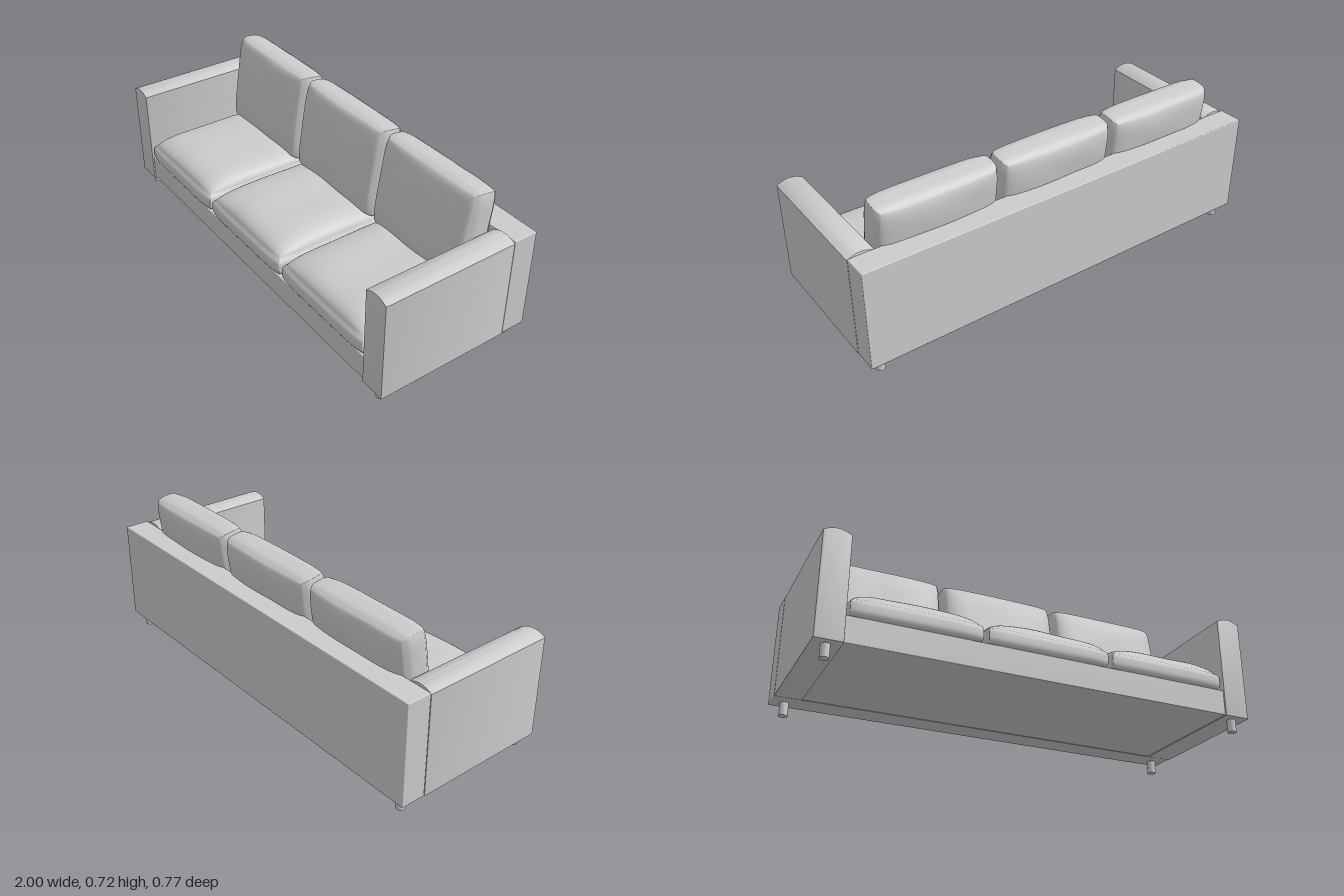
import * as THREE from 'three';
import { mergeVertices, toCreasedNormals } from 'three/addons/utils/BufferGeometryUtils.js';
import { RoundedBoxGeometry } from 'three/addons/geometries/RoundedBoxGeometry.js';

const material = new THREE.MeshStandardMaterial({ color: 0xcccccc });

function add(parent, name, geometry, x = 0, y = 0, z = 0) {
  const mesh = new THREE.Mesh(geometry, material);
  mesh.name = name;
  mesh.position.set(x, y, z);
  parent.add(mesh);
  return mesh;
}

// Box given by its limits, with slightly softened edges
function block(parent, name, x0, x1, y0, y1, z0, z1) {
  const geometry = new RoundedBoxGeometry(x1 - x0, y1 - y0, z1 - z0, 2, 0.004);
  return add(parent, name, geometry, (x0 + x1) / 2, (y0 + y1) / 2, (z0 + z1) / 2);
}

// Stuffed cushion lying in xz: thin rim, domed faces, rounded corners, slight folds
function cushionGeometry(width, thickness, depth, rim, flatBottom, seed) {
  let geometry = new THREE.BoxGeometry(2, 2, 2, 28, 10, 28);
  geometry.deleteAttribute('uv');
  geometry.deleteAttribute('normal');
  geometry = mergeVertices(geometry);
  const p = geometry.attributes.position;
  for (let i = 0; i < p.count; i++) {
    // Crowd the grid lines towards the rim
    const u = Math.sin(p.getX(i) * Math.PI / 2);
    const w = p.getY(i);
    const v = Math.sin(p.getZ(i) * Math.PI / 2);
    const dome = Math.sqrt(Math.max(0, (1 - u ** 4) * (1 - v ** 4)));
    const fold = 0.03 * dome * Math.sin(5 * u + 2 * v + seed * 2) * Math.sin(3 * v - u + seed);
    const round = 1 - 0.05 * w ** 4;
    const x = u * round * (1 - 0.035 * v ** 8) * width / 2;
    const z = v * round * (1 - 0.035 * u ** 8) * depth / 2;
    let y = w * (rim + (1 - rim) * dome + fold) * thickness / 2;
    // A flat-bottomed cushion rests on y = 0 and carries its whole dome on top
    if (flatBottom) y = (w + 1) / 2 * (rim + (1 - rim) * dome + fold) * thickness;
    p.setXYZ(i, x, y, z);
  }
  geometry.computeVertexNormals();
  return geometry;
}

export function createModel() {
  const sofa = new THREE.Group();
  sofa.name = 'sofa';

  // Frame
  block(sofa, 'base', -0.885, 0.885, 0.062, 0.18, -0.27, 0.37);
  block(sofa, 'backrest', -1, 1, 0.06, 0.538, -0.385, -0.268);

  // Armrests with a gently arched top
  const bevel = 0.004;
  const half = 0.06 - bevel;
  const profile = new THREE.Shape();
  profile.moveTo(-half, 0.058 + bevel);
  profile.lineTo(half, 0.058 + bevel);
  profile.lineTo(half, 0.527);
  profile.quadraticCurveTo(0, 0.561, -half, 0.527);
  profile.closePath();
  const armGeometry = toCreasedNormals(new THREE.ExtrudeGeometry(profile, {
    depth: 0.645 - 2 * bevel, curveSegments: 12,
    bevelSize: bevel, bevelThickness: bevel, bevelSegments: 2,
  }), 0.6);

  const legGeometry = new THREE.CylinderGeometry(0.02, 0.02, 0.064, 20);
  for (const [side, s] of [['left', 1], ['right', -1]]) {
    add(sofa, side + 'Armrest', armGeometry, s * 0.94, 0, -0.267 + bevel);
    add(sofa, side + 'FrontLeg', legGeometry, s * 0.94, 0.032, 0.33);
    add(sofa, side + 'BackLeg', legGeometry, s * 0.94, 0.032, -0.335);
  }

  // Three seat cushions and three leaning back cushions
  ['right', 'middle', 'left'].forEach((place, i) => {
    const x = (i - 1) * 0.585;
    add(sofa, place + 'SeatCushion',
      cushionGeometry(0.582, 0.148, 0.645, 0.55, true, i + 1), x, 0.18, 0.06);
    const geometry = cushionGeometry(0.576, 0.178, 0.445, 0.62, false, i + 4);
    geometry.rotateX(Math.PI / 2);
    const back = add(sofa, place + 'BackCushion', geometry, x, 0.496, -0.196);
    back.rotation.x = -0.15;
  });

  return sofa;
}
